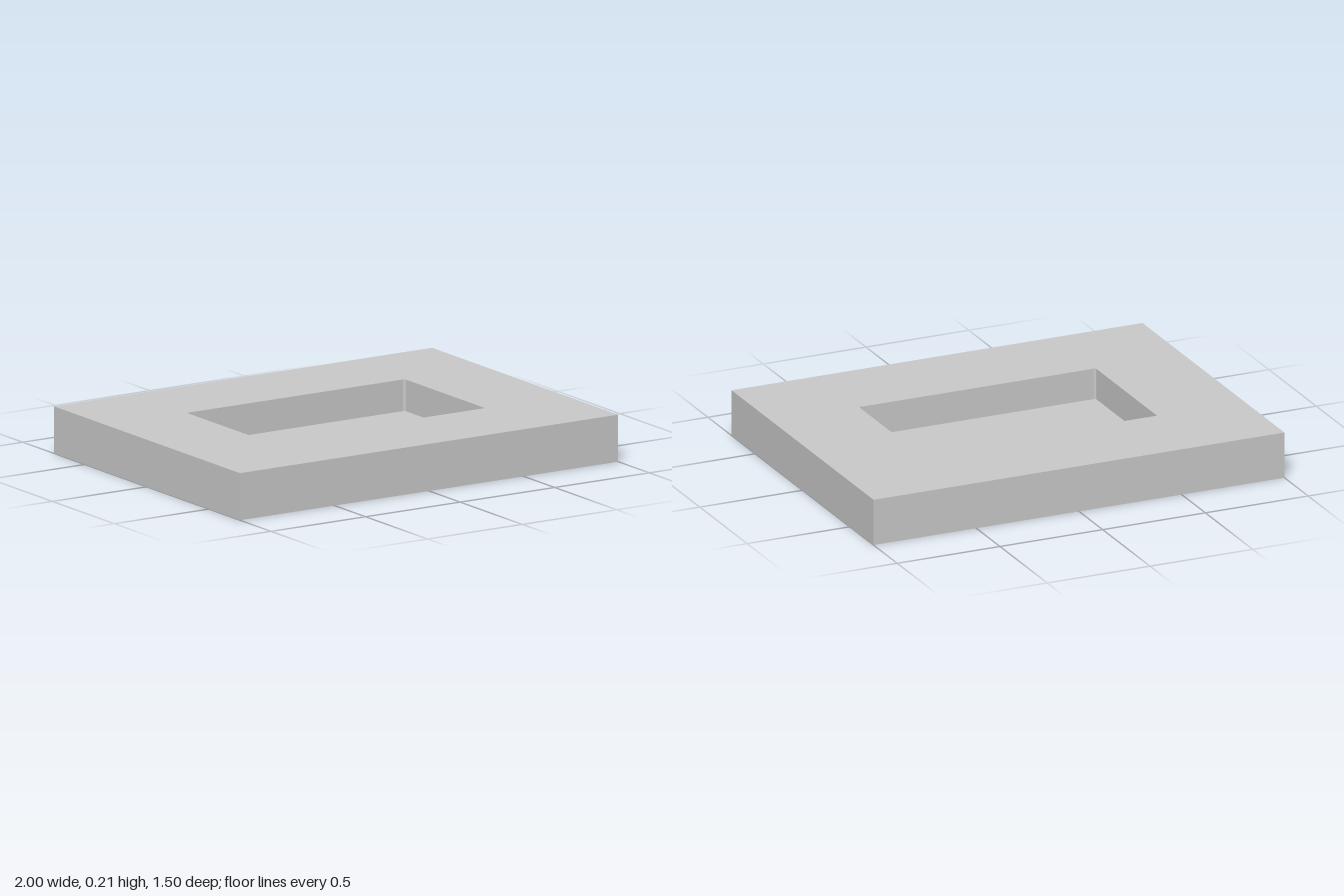
import * as THREE from 'three';

const W = 2, D = 1.5, H = 0.214;            // slab
const PW = 1.152, PD = 0.648, PR = 0.01;    // pocket opening and corner radius
const FLOOR_Y = 0.07;

const material = new THREE.MeshStandardMaterial({ color: 0xcccccc, side: THREE.DoubleSide });

// Counter-clockwise rectangle outline with optional rounded corners
function outline(w, d, r = 0) {
  const corners = [[1, -1], [1, 1], [-1, 1], [-1, -1]];
  const steps = r ? 4 : 0;
  return corners.flatMap(([sx, sy], i) =>
    Array.from({ length: steps + 1 }, (_, k) => {
      const a = (i - 1 + (steps ? k / steps : 0)) * Math.PI / 2;
      return new THREE.Vector2(sx * (w / 2 - r) + r * Math.cos(a), sy * (d / 2 - r) + r * Math.sin(a));
    }));
}

// Flat horizontal sheet with a hole, facing up or down
function sheet(name, points, hole, y, up = true) {
  const shape = new THREE.Shape(points);
  shape.holes.push(hole);
  const geometry = new THREE.ShapeGeometry(shape, 24);
  geometry.rotateX(up ? -Math.PI / 2 : Math.PI / 2).translate(0, y, 0);
  return named(name, geometry);
}

// Vertical wall band following a closed outline
function wall(name, points, y0, y1) {
  const positions = points.flatMap((a, i) => {
    const b = points[(i + 1) % points.length];
    const p = [a.x, y0, -a.y], q = [b.x, y0, -b.y];
    const r = [b.x, y1, -b.y], s = [a.x, y1, -a.y];
    return [...p, ...q, ...r, ...p, ...r, ...s];
  });
  const geometry = new THREE.BufferGeometry();
  geometry.setAttribute('position', new THREE.Float32BufferAttribute(positions, 3));
  geometry.computeVertexNormals();
  return named(name, geometry);
}

function named(name, geometry) {
  const mesh = new THREE.Mesh(geometry, material);
  mesh.name = name;
  return mesh;
}

export function createModel() {
  const group = new THREE.Group();
  group.name = 'recessedSlab';
  const rim = outline(W, D);
  const pocket = outline(PW, PD, PR);
  const opening = new THREE.Path(pocket);
  const drain = new THREE.Path().absarc(0.462, -0.212, 0.055, 0, Math.PI * 2, true);

  // Hollow outer shell, open at the pocket above and below
  group.add(
    sheet('topFace', rim, opening, H),
    sheet('bottomFace', rim, opening, 0, false),
    wall('outerWalls', rim, 0, H),
  );
  // Pocket sunk from the top, with a thin floor and a round drain hole
  group.add(
    wall('pocketWalls', [...pocket].reverse(), FLOOR_Y, H),
    sheet('pocketFloor', pocket, drain, FLOOR_Y),
  );
  return group;
}
